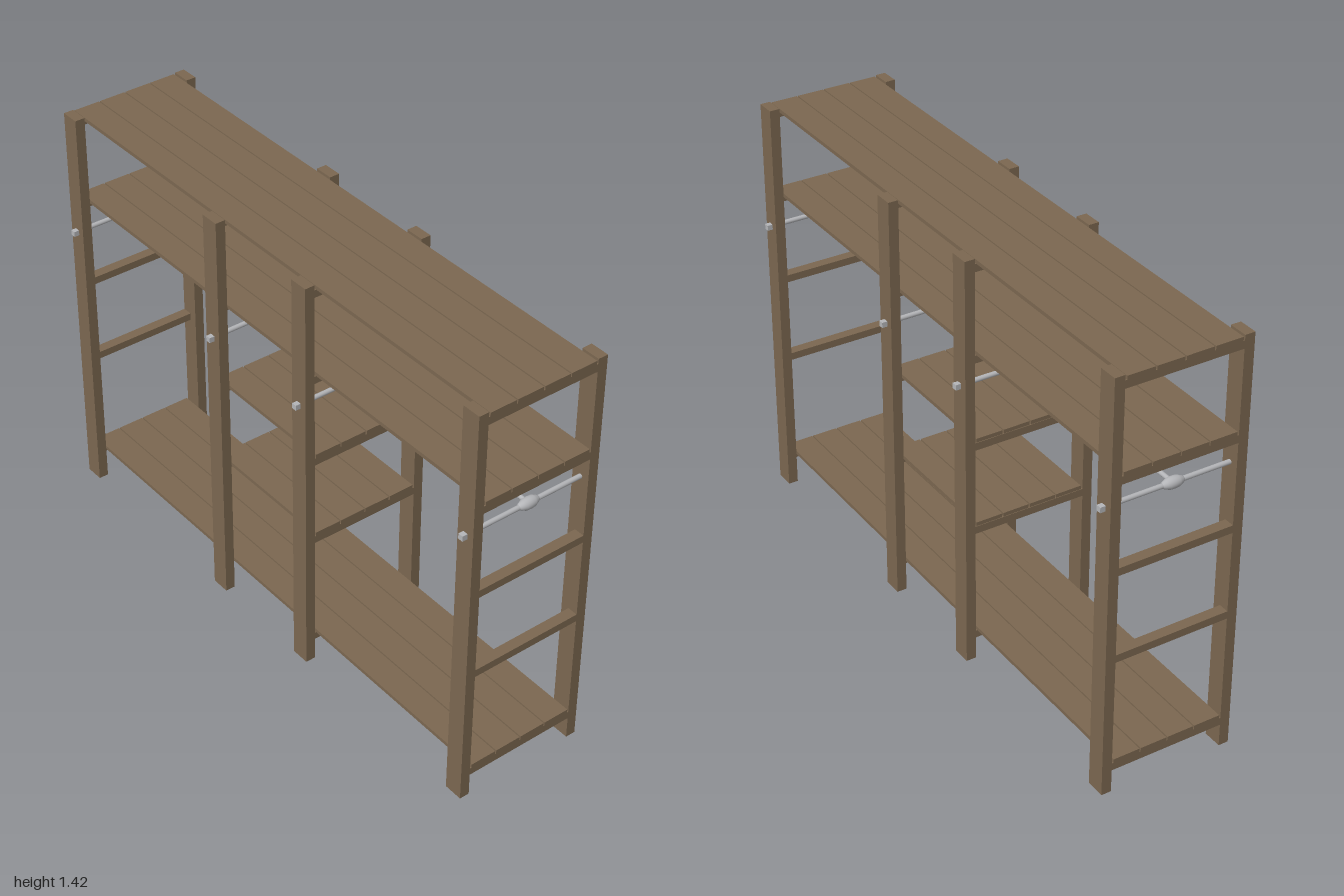
import * as THREE from 'three';

export function createModel() {
  const model = new THREE.Group();
  const wood = new THREE.MeshStandardMaterial({ color: 0x7b6750 });
  wood.name = 'brown wood';
  const steel = new THREE.MeshStandardMaterial({ color: 0xb4b5b8 });
  steel.name = 'grey steel';

  const add = (name, geometry, material, x, y, z) => {
    const mesh = new THREE.Mesh(geometry, material);
    mesh.name = name;
    mesh.position.set(x, y, z);
    model.add(mesh);
    return mesh;
  };
  const box = (name, w, h, d, x, y, z, material = wood) =>
    add(name, new THREE.BoxGeometry(w, h, d), material, x, y, z);

  const postX = [-0.967, -0.217, 0.215, 0.967];
  const shelfY = [0.105, 0.5, 0.802, 1.105, 1.408]; // underside of the boards
  const rodY = 1.0;

  // Hub with tapered necks, revolved about the cross rod
  const hubProfile = [
    [0.008, -0.036], [0.012, -0.03], [0.014, -0.024], [0.018, -0.016],
    [0.019, 0], [0.018, 0.016], [0.014, 0.024], [0.012, 0.03], [0.008, 0.036],
  ].map(([r, h]) => new THREE.Vector2(r, h));
  const hub = new THREE.LatheGeometry(hubProfile, 20).rotateX(Math.PI / 2);

  // Four ladder frames, each with posts, rungs and a steel cross rod
  for (const x of postX) {
    const outward = Math.sign(x);
    for (const side of [-1, 1]) {
      box(side > 0 ? 'frontPost' : 'backPost', 0.065, 1.425, 0.034, x, 0.7125, side * 0.213);
      box('rodEndNut', 0.018, 0.018, 0.018, x, rodY, side * 0.239, steel);
    }
    for (const y of shelfY) {
      box('rung', 0.036, 0.026, 0.392, x + outward * 0.0145, y - 0.013, 0);
    }
    add('crossRod', new THREE.CylinderGeometry(0.008, 0.008, 0.47, 14).rotateX(Math.PI / 2), steel, x, rodY, 0);
    add('rodHub', hub, steel, x, rodY, 0);
  }

  // Slatted shelves: three full length, two in the middle bay only
  shelfY.forEach((y, i) => {
    const length = i === 1 || i === 2 ? 0.495 : 2;
    for (let s = 0; s < 4; s++) {
      box('shelfBoard', length, 0.013, 0.092, 0, y + 0.0065, (s - 1.5) * 0.0965);
    }
  });

  // Hanging rails of the two outer bays
  for (const side of [-1, 1]) {
    add('hangingRail', new THREE.CylinderGeometry(0.0075, 0.0075, 0.75, 14).rotateZ(Math.PI / 2),
      steel, side * 0.591, rodY, 0);
  }
  return model;
}
